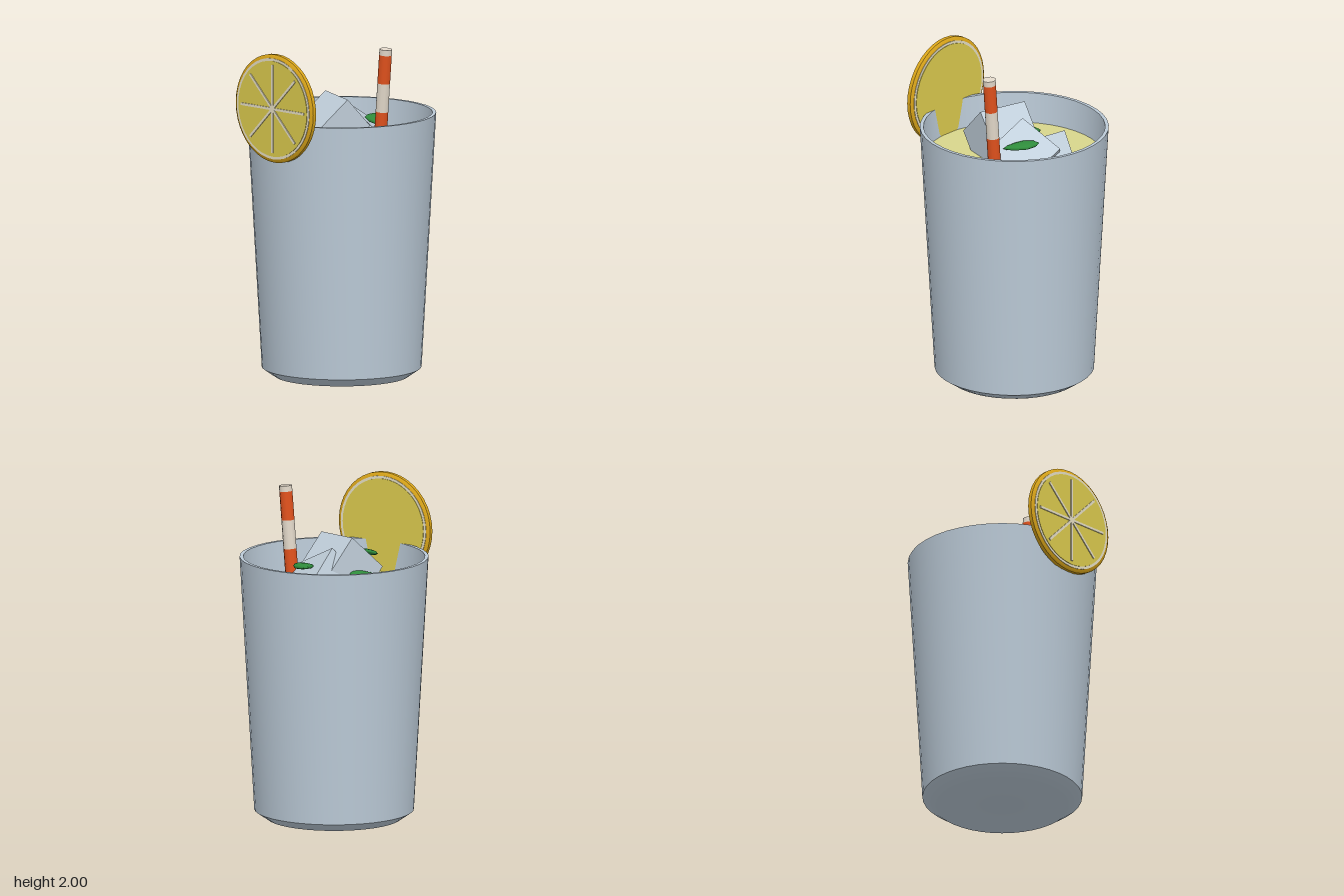
import * as THREE from 'three';
import { toCreasedNormals } from 'three/addons/utils/BufferGeometryUtils.js';

const mat = (name, color) => Object.assign(new THREE.MeshStandardMaterial({ color }), { name });
const V = (x, y, z) => new THREE.Vector3(x, y, z);

export function createModel() {
  const glassMat = mat('glass', 0xbccbd8);
  const iceMat = mat('ice', 0xc2d0dc);
  const drinkMat = mat('lemonade', 0xd8d68c);
  const rindMat = mat('rind', 0xdba61a);
  const fleshMat = mat('lemon flesh', 0xdccb4e);
  const pithMat = mat('pith', 0xe6dfc4);
  const orangeMat = mat('straw orange', 0xe2521d);
  const creamMat = mat('straw cream', 0xe4dacb);
  const leafMat = mat('mint', 0x2f8d3c);

  const model = new THREE.Group();
  model.name = 'lemonade';
  const add = (parent, name, geometry, material) => {
    const mesh = new THREE.Mesh(geometry, material);
    mesh.name = name;
    parent.add(mesh);
    return mesh;
  };
  const lathe = (pairs, segments) => toCreasedNormals(
    new THREE.LatheGeometry(pairs.map(([r, y]) => new THREE.Vector2(r, y)), segments), 0.7);

  // Tapered glass with a bevelled foot and hollow inside
  const glassZ = -0.012;
  add(model, 'glass', lathe([
    [0, 0], [0.4, 0], [0.475, 0.052], [0.562, 1.585], [0.54, 1.585], [0.455, 0.08], [0, 0.08],
  ], 40), glassMat).position.z = glassZ;

  // Drink filling the glass
  const drinkTop = 1.4, drinkBottom = 0.09;
  add(model, 'drink', new THREE.CylinderGeometry(0.528, 0.454, drinkTop - drinkBottom, 40), drinkMat)
    .position.set(0, (drinkTop + drinkBottom) / 2, glassZ);

  // Ice cubes, each placed by a top corner and two edges of its top face
  const size = 0.3;
  const iceCubes = [
    [V(-0.255, 1.53, -0.185), V(0.18, -0.055, -0.235), V(0.22, -0.075, 0.19)],
    [V(-0.02, 1.645, -0.06), V(0.26, -0.127, 0.025), V(-0.035, -0.145, -0.265)],
    [V(-0.115, 1.705, 0.01), V(0.28, -0.01, 0.095), V(0.072, -0.223, -0.187)],
  ];
  iceCubes.forEach(([corner, edgeA, edgeB], i) => {
    const a = edgeA.clone().normalize();
    const up = V(0, 0, 0).crossVectors(a, edgeB).normalize();
    if (up.y < 0) up.negate();
    const b = V(0, 0, 0).crossVectors(a, up);
    if (b.dot(edgeB) < 0) b.negate();
    const cube = add(model, `iceCube${i + 1}`, new THREE.BoxGeometry(size, size, size), iceMat);
    cube.quaternion.setFromRotationMatrix(
      new THREE.Matrix4().makeBasis(a, up, V(0, 0, 0).crossVectors(a, up)));
    cube.position.copy(corner).addScaledVector(a, size / 2)
      .addScaledVector(b, size / 2).addScaledVector(up, -size / 2);
  });

  // Mint leaves: flattened spheres that taper to a tip along +x
  const leafShape = (length, width, thickness) => {
    const g = new THREE.SphereGeometry(0.5, 10, 6);
    const p = g.attributes.position;
    for (let i = 0; i < p.count; i++) {
      const taper = 1 - 0.65 * Math.max(0, p.getX(i) + 0.1) / 0.6;
      p.setXYZ(i, p.getX(i) * length, p.getY(i) * thickness, p.getZ(i) * width * taper);
    }
    g.computeVertexNormals();
    return g;
  };
  const leaves = [
    { size: [0.22, 0.13, 0.035], at: [0.12, 1.54, -0.175], turn: -0.65, tilt: -0.1 },
    { size: [0.3, 0.15, 0.04], at: [-0.16, 1.48, 0.045], turn: 0.3, tilt: 0.15 },
    { size: [0.16, 0.12, 0.035], at: [-0.07, 1.58, 0.222], turn: 0.05, tilt: 0, pitch: 0.35 },
  ];
  leaves.forEach(({ size: s, at, turn, tilt, pitch = 0 }, i) => {
    const leaf = add(model, `mintLeaf${i + 1}`, leafShape(...s), leafMat);
    leaf.position.set(...at);
    leaf.rotation.set(pitch, turn, tilt, 'YXZ');
  });

  // Striped straw, built downward from its top
  const straw = new THREE.Group();
  straw.name = 'straw';
  straw.position.set(0.3, 1.993, -0.083);
  straw.rotation.z = -0.085;
  model.add(straw);
  let y = 0;
  [0.035, 0.173, 0.173, 0.173, 0.173, 0.173].forEach((h, i) => {
    const band = add(straw, `strawBand${i + 1}`, new THREE.CylinderGeometry(0.039, 0.039, h, 12),
      i % 2 ? orangeMat : creamMat);
    band.position.y = y - h / 2;
    y -= h;
  });

  // Lemon slice on the front of the rim
  const lemon = new THREE.Group();
  lemon.name = 'lemonSlice';
  lemon.position.set(0, 1.675, 0.54);
  model.add(lemon);
  const disc = (name, geometry, material) => {
    add(lemon, name, geometry, material).rotation.x = Math.PI / 2;
  };
  disc('rind', lathe([
    [0, -0.022], [0.312, -0.022], [0.326, -0.012], [0.326, 0.012], [0.312, 0.022], [0, 0.022],
  ], 40), rindMat);
  disc('pith', new THREE.CylinderGeometry(0.304, 0.304, 0.05, 40), pithMat);
  disc('flesh', new THREE.CylinderGeometry(0.288, 0.288, 0.056, 40), fleshMat);
  for (let i = 0; i < 4; i++) {
    const rib = add(lemon, `segmentRib${i + 1}`, new THREE.BoxGeometry(0.53, 0.015, 0.008), pithMat);
    rib.position.z = 0.0295;
    rib.rotation.z = i * Math.PI / 4;
  }

  return model;
}
